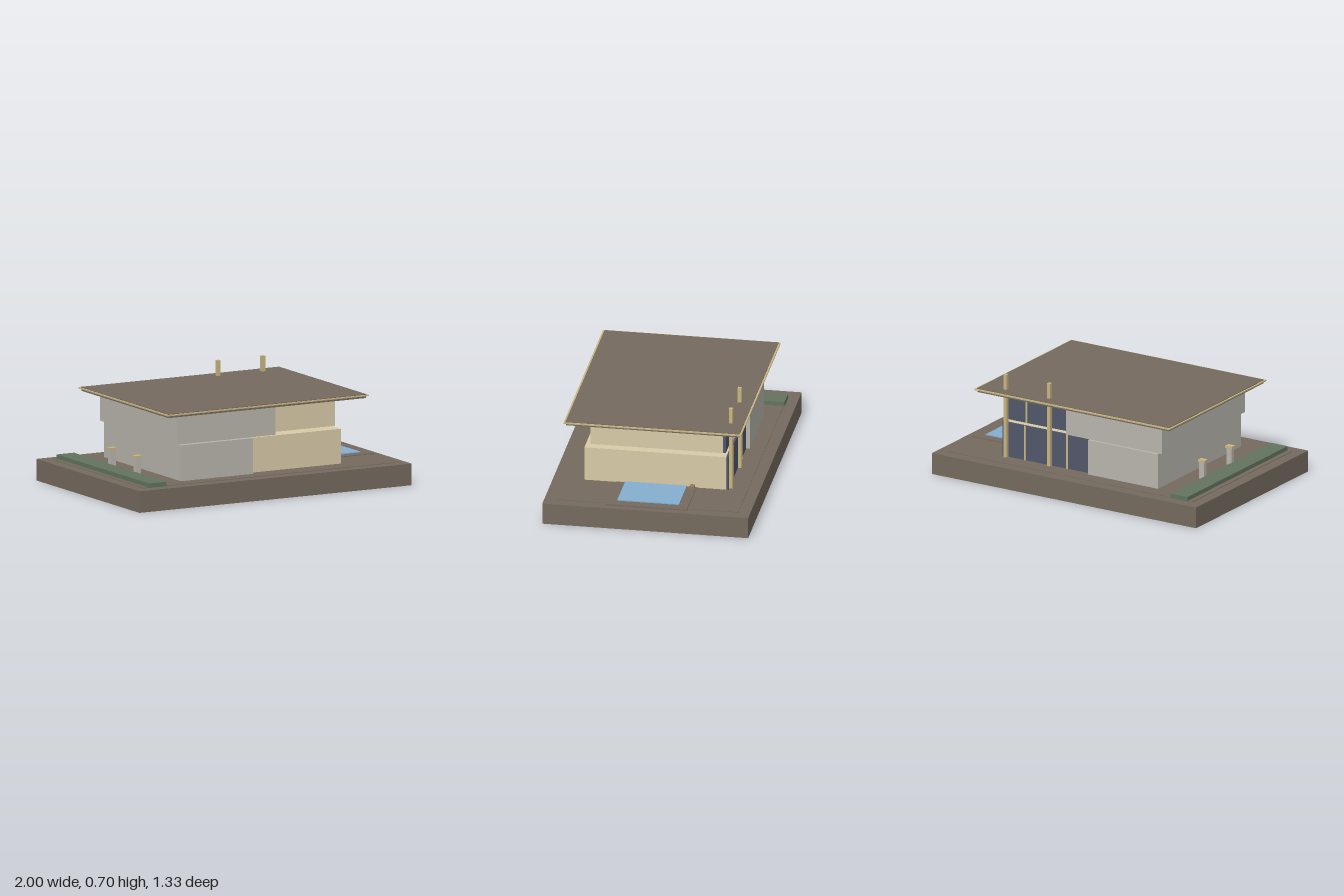
import * as THREE from 'three';

const material = (color, extra = {}) => new THREE.MeshStandardMaterial({ color, ...extra });

export function createModel() {
  const house = new THREE.Group();
  house.name = 'house';

  const earth = material(0x746a5e);
  const cream = material(0xd9cba8);
  const concrete = material(0xb8b5ad);
  const timber = material(0xc8b582);
  const glass = material(0x50586b);
  const water = material(0x84aece);
  const leaf = material(0x62735f);
  const wood = material(0x94775a);

  // Box given by its extents along each axis
  function block(name, mat, [x0, x1], [y0, y1], [z0, z1], parent = house) {
    const mesh = new THREE.Mesh(new THREE.BoxGeometry(x1 - x0, y1 - y0, z1 - z0), mat);
    mesh.position.set((x0 + x1) / 2, (y0 + y1) / 2, (z0 + z1) / 2);
    mesh.name = name;
    parent.add(mesh);
    return mesh;
  }

  // Site
  block('plinth', earth, [-1, 1], [0, 0.14], [-0.667, 0.667]);
  block('yard', earth, [-0.925, 0.925], [0.14, 0.143], [-0.59, 0.59]);
  block('hedge', leaf, [-0.89, -0.763], [0.14, 0.17], [-0.597, 0.597]);

  // Pool
  block('poolDeck', earth, [0.55, 0.955], [0.14, 0.148], [-0.262, 0.262]);
  block('poolWater', water, [0.59, 0.89], [0.148, 0.154], [-0.2, 0.2]);
  block('poolBench', wood, [0.6, 0.64], [0.155, 0.169], [-0.255, -0.225]);

  // Ground floor
  block('lowerConcreteWing', concrete, [-0.6, -0.07], [0.14, 0.375], [-0.493, 0.497]);
  block('lowerCreamWing', cream, [-0.07, 0.595], [0.145, 0.371], [-0.455, 0.465]);
  block('lowerGlazing', glass, [-0.07, 0.59], [0.143, 0.374], [-0.469, -0.455]);

  // Upper floor, with an open shadow gap below it
  block('upperConcreteWing', concrete, [-0.63, 0.095], [0.382, 0.578], [-0.493, 0.497]);
  block('upperCreamWing', cream, [0.095, 0.57], [0.387, 0.578], [-0.43, 0.43]);
  block('upperGlazing', glass, [0.095, 0.567], [0.387, 0.578], [-0.447, -0.43]);

  // Window mullions
  for (const x of [0.1, 0.42]) {
    block('lowerMullion', timber, [x - 0.006, x + 0.006], [0.143, 0.374], [-0.474, -0.469]);
  }
  block('upperMullion', timber, [0.414, 0.426], [0.387, 0.578], [-0.453, -0.447]);

  // Tall columns passing through the roof
  for (const x of [0.229, 0.558]) {
    block('column', timber, [x - 0.012, x + 0.012], [0.14, 0.7], [-0.492, -0.467]);
  }

  // Roof: soffit slab, projecting timber edge and inset deck
  const roof = new THREE.Group();
  roof.name = 'roof';
  house.add(roof);
  block('roofSlab', earth, [-0.728, 0.722], [0.574, 0.588], [-0.562, 0.562], roof);
  block('roofEdge', timber, [-0.742, 0.736], [0.588, 0.596], [-0.576, 0.576], roof);
  block('roofDeck', earth, [-0.731, 0.725], [0.596, 0.6], [-0.564, 0.564], roof);

  // Gate posts with caps
  for (const z of [-0.163, 0.163]) {
    const post = new THREE.Group();
    post.name = 'gatePost';
    house.add(post);
    block('postShaft', concrete, [-0.749, -0.711], [0.14, 0.254], [z - 0.016, z + 0.016], post);
    block('postCap', timber, [-0.755, -0.705], [0.254, 0.27], [z - 0.02, z + 0.02], post);
  }

  return house;
}
